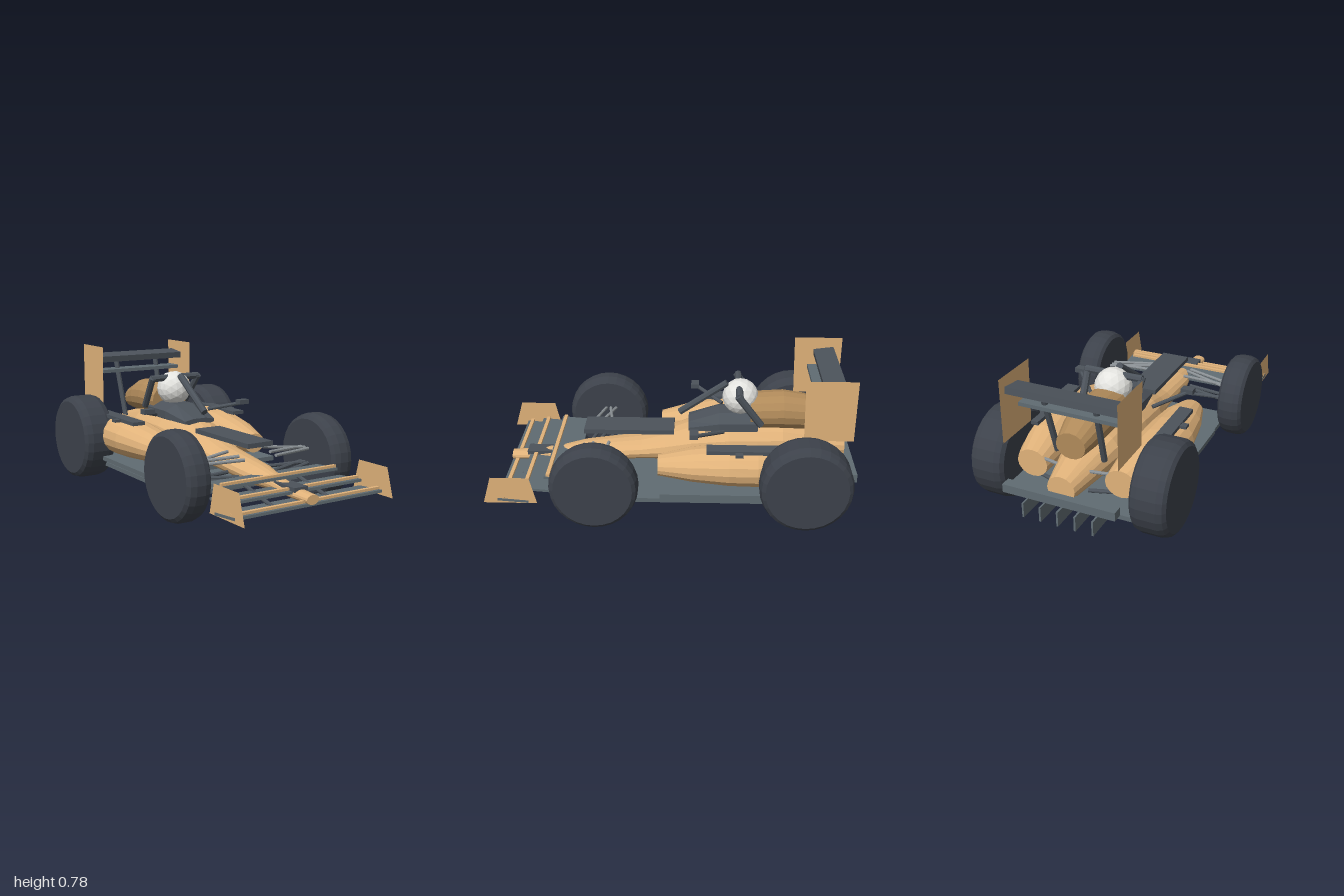
import * as THREE from 'three';

const mat = (color, side = THREE.FrontSide) => new THREE.MeshStandardMaterial({ color, side, flatShading: true });
const paint = mat(0xe0b27a), paintThin = mat(0xe0b27a, THREE.DoubleSide), coverPaint = mat(0xb08a5a);
const dark = mat(0x4c535b), carbon = mat(0x606c72), rubber = mat(0x3d424b);
const metal = mat(0x8a9094), white = mat(0xe4e4e0);

export function createModel() {
  const car = new THREE.Group();
  car.name = 'racingCar';

  const add = (name, geometry, material) => {
    const mesh = new THREE.Mesh(geometry, material);
    mesh.name = name;
    car.add(mesh);
    return mesh;
  };

  // Box given by its extents, with an optional pitch
  const box = (name, [x0, x1], [y0, y1], [z0, z1], material, pitch = 0) => {
    const m = add(name, new THREE.BoxGeometry(x1 - x0, y1 - y0, z1 - z0), material);
    m.position.set((x0 + x1) / 2, (y0 + y1) / 2, (z0 + z1) / 2);
    m.rotation.x = pitch;
    return m;
  };

  // Round bar between two points
  const rod = (name, a, b, r, material) => {
    const p = new THREE.Vector3(...a), q = new THREE.Vector3(...b);
    const m = add(name, new THREE.CylinderGeometry(r, r, p.distanceTo(q), 8), material);
    m.position.copy(p).lerp(q, 0.5);
    m.quaternion.setFromUnitVectors(new THREE.Vector3(0, 1, 0), q.sub(p).normalize());
    return m;
  };

  // Closed skin through elliptical sections [z, cx, cy, rx, ry], front to back
  const loft = (name, sections, material, n = 16, turn = 0) => {
    const pos = [], idx = [];
    for (const [z, cx, cy, rx, ry] of sections)
      for (let k = 0; k < n; k++) {
        const t = turn + (k / n) * Math.PI * 2;
        pos.push(cx + rx * Math.cos(t), cy + ry * Math.sin(t), z);
      }
    const last = sections.length - 1, front = pos.length / 3, back = front + 1;
    for (const s of [sections[0], sections[last]]) pos.push(s[1], s[2], s[0]);
    for (let k = 0; k < n; k++) {
      const j = (k + 1) % n;
      for (let i = 0; i < last; i++) {
        const a = i * n + k, b = i * n + j;
        idx.push(a, a + n, b, b, a + n, b + n);
      }
      idx.push(front, k, j, back, last * n + j, last * n + k);
    }
    const g = new THREE.BufferGeometry();
    g.setAttribute('position', new THREE.Float32BufferAttribute(pos, 3));
    g.setIndex(idx);
    g.computeVertexNormals();
    return add(name, g, material);
  };

  // Flat upright plate from [z, y] corners
  const plate = (name, x, corners, material) => {
    const shape = new THREE.Shape(corners.map(([z, y]) => new THREE.Vector2(-z, y)));
    const m = add(name, new THREE.ShapeGeometry(shape), material);
    m.rotation.y = Math.PI / 2;
    m.position.x = x;
  };

  const wheel = (name, x, y, z, r, w) => {
    const h = w / 2;
    const half = [[0, h], [r * 0.88, h], [r * 0.96, h - 0.015], [r, h - 0.045]];
    const profile = [...half.map(([a, b]) => [a, -b]), ...half.reverse()];
    const m = add(name, new THREE.LatheGeometry(profile.map(p => new THREE.Vector2(...p)), 28), rubber);
    m.rotation.z = Math.PI / 2;
    m.position.set(x, y, z);
  };

  // Central body and nose
  loft('body', [
    [0.925, 0, 0.165, 0.038, 0.025], [0.8, 0, 0.17, 0.045, 0.028], [0.645, 0, 0.185, 0.052, 0.037],
    [0.5, 0, 0.2, 0.088, 0.055], [0.18, 0, 0.235, 0.11, 0.06], [0.05, 0, 0.255, 0.128, 0.08],
    [-0.1, 0, 0.285, 0.16, 0.11], [-0.3, 0, 0.3, 0.165, 0.12], [-0.6, 0, 0.3, 0.15, 0.12],
    [-0.95, 0, 0.26, 0.075, 0.07],
  ], paint);
  loft('engineCover', [
    [-0.42, 0, 0.47, 0.115, 0.1], [-0.6, 0, 0.475, 0.115, 0.108], [-0.72, 0, 0.465, 0.105, 0.1],
    [-0.84, 0, 0.44, 0.08, 0.07],
  ], coverPaint);
  box('nosePanel', [-0.08, 0.08], [0.345, 0.37], [0, 0.5], dark);
  box('noseTipPanel', [-0.042, 0.042], [0.185, 0.208], [0.67, 0.835], dark);

  // Cockpit, driver's helmet and head guard
  loft('cockpitSurround', [
    [-0.08, 0, 0.39, 0.105, 0.02], [-0.25, 0, 0.415, 0.14, 0.06], [-0.46, 0, 0.415, 0.135, 0.06],
  ], dark, 8, Math.PI / 8);
  const helmet = add('helmet', new THREE.IcosahedronGeometry(0.1, 2), white);
  helmet.position.set(0, 0.55, -0.365);
  rod('guardPillar', [0, 0.45, -0.03], [0, 0.63, -0.29], 0.02, dark);
  rod('guardBar', [-0.16, 0.615, -0.355], [0.16, 0.615, -0.355], 0.02, dark);

  // Floor plates and diffuser
  box('floor', [-0.39, 0.39], [0.098, 0.122], [-0.76, 0.36], carbon);
  box('upperFloor', [-0.42, 0.42], [0.14, 0.165], [-0.9, 0.065], carbon);
  for (let i = -2; i <= 2; i++)
    box('diffuserFin', [i * 0.095 - 0.005, i * 0.095 + 0.005], [0.08, 0.16], [-1, -0.75], carbon);
  box('rearBeam', [-0.305, 0.305], [0.19, 0.235], [-0.99, -0.935], carbon);

  // Front wing: three stepped flaps, each with a painted strip [half width, y, zBack, zFront, strip z]
  for (const [w, y, z0, z1, zs] of [
    [0.455, 0.135, 0.76, 0.925, 0.895], [0.41, 0.175, 0.65, 0.82, 0.785], [0.36, 0.215, 0.525, 0.69, 0.668],
  ]) {
    box('frontWingFlap', [-w, w], [y - 0.007, y + 0.007], [z0, z1], carbon, -0.08);
    box('frontWingStrip', [-w, w], [y + 0.013, y + 0.026], [zs - 0.01, zs + 0.01], paint);
  }

  // Rear wing
  box('rearWingMain', [-0.305, 0.305], [0.682, 0.718], [-0.905, -0.79], dark, 0.13);
  box('rearWingLower', [-0.265, 0.265], [0.613, 0.633], [-0.86, -0.755], carbon);

  for (const s of [-1, 1]) {
    const span = (a, b) => (s > 0 ? [a, b] : [-b, -a]);

    // Wheels
    wheel('frontWheel', s * 0.45, 0.235, 0.41, 0.235, 0.14);
    wheel('rearWheel', s * 0.435, 0.252, -0.7, 0.245, 0.19);

    // Side pods with top panels
    loft('sidePod', [
      [0.08, s * 0.27, 0.262, 0.068, 0.055], [-0.1, s * 0.28, 0.275, 0.115, 0.088],
      [-0.3, s * 0.295, 0.285, 0.135, 0.11], [-0.45, s * 0.295, 0.285, 0.135, 0.115],
      [-0.62, s * 0.27, 0.28, 0.12, 0.105], [-0.8, s * 0.245, 0.265, 0.085, 0.075],
    ], paint);
    box('sidePodPanel', span(0.3, 0.375), [0.385, 0.405], [-0.64, -0.18], dark);
    box('sidePodTab', span(0.37, 0.41), [0.385, 0.4], [-0.37, -0.33], dark);

    // Mirrors
    box('mirror', span(0.285, 0.352), [0.46, 0.486], [-0.135, -0.09], dark);
    rod('mirrorStalk', [s * 0.32, 0.465, -0.12], [s * 0.18, 0.42, -0.27], 0.011, dark);

    // Head guard legs
    rod('guardLeg', [s * 0.155, 0.62, -0.345], [s * 0.135, 0.44, -0.475], 0.02, dark);

    // Front suspension arms and rear axle rods
    for (const [y0, y1, m, r] of [[0.31, 0.28, metal, 0.009], [0.2, 0.2, dark, 0.011]]) {
      rod('frontSuspensionArm', [s * 0.1, y0 - 0.02, 0.5], [s * 0.4, y1, 0.42], r, m);
      rod('frontSuspensionArm', [s * 0.1, y0 - 0.01, 0.45], [s * 0.4, y1, 0.36], r, m);
      rod('frontSuspensionArm', [s * 0.11, y0, 0.36], [s * 0.4, y1, 0.4], r, m);
      rod('rearSuspensionArm', [s * 0.08, y0, -0.82], [s * 0.4, y1, -0.72], r, m);
    }

    // Wing end plates, pillars and struts
    plate('frontWingEndPlate', s * 0.453, [[1, 0.12], [0.955, 0.272], [0.75, 0.272], [0.715, 0.12]], paintThin);
    plate('rearWingEndPlate', s * 0.306, [[-0.68, 0.78], [-0.95, 0.78], [-0.95, 0.44], [-0.69, 0.44]], paintThin);
    rod('rearWingPillar', [s * 0.13, 0.34, -0.74], [s * 0.14, 0.69, -0.84], 0.016, dark);
    rod('frontWingStrut', [s * 0.17, 0.19, 0.6], [s * 0.17, 0.128, 0.86], 0.011, dark);
  }
  return car;
}
